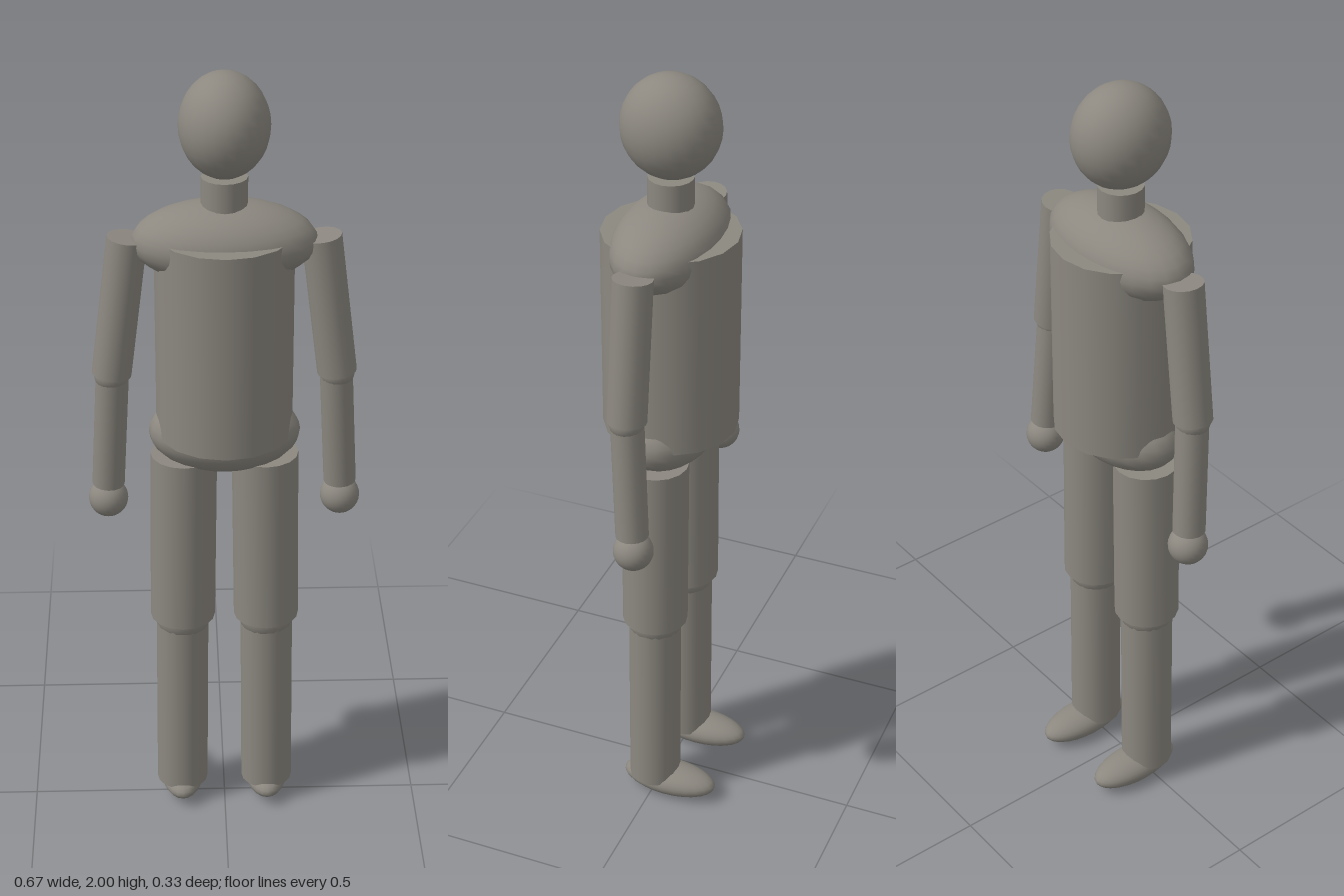
import * as THREE from 'three';

export function createModel() {
  const figure = new THREE.Group();
  figure.name = 'mannequin';
  const grey = new THREE.MeshStandardMaterial({ color: 0x8c8880 });
  grey.name = 'warm grey';

  const add = (name, geometry) => {
    const mesh = new THREE.Mesh(geometry, grey);
    mesh.name = name;
    figure.add(mesh);
    return mesh;
  };

  // Ellipsoid from a centre and three radii
  const ellipsoid = (name, [x, y, z], [rx, ry, rz]) => {
    const mesh = add(name, new THREE.SphereGeometry(1, 24, 16));
    mesh.position.set(x, y, z);
    mesh.scale.set(rx, ry, rz);
  };

  // Capped cylinder between two points
  const limb = (name, top, bottom, radius, sides = 16) => {
    const a = new THREE.Vector3(...top);
    const b = new THREE.Vector3(...bottom);
    const axis = a.clone().sub(b);
    const mesh = add(name, new THREE.CylinderGeometry(radius, radius, axis.length(), sides));
    mesh.position.copy(a).add(b).multiplyScalar(0.5);
    mesh.quaternion.setFromUnitVectors(new THREE.Vector3(0, 1, 0), axis.normalize());
  };

  // Head and trunk
  ellipsoid('head', [0, 1.875, 0], [0.107, 0.125, 0.12]);
  limb('neck', [0, 1.75, 0], [0, 1.64, 0], 0.055);
  ellipsoid('shoulders', [0, 1.59, 0], [0.22, 0.098, 0.127]);
  limb('torso', [0, 1.612, 0], [0, 1.092, 0], 0.166);
  ellipsoid('pelvis', [0, 1.09, 0], [0.185, 0.1, 0.12]);

  // Arms and legs, mirrored; the toes point to -z
  for (const [side, s] of [['left', 1], ['right', -1]]) {
    limb(side + 'UpperArm', [s * 0.228, 1.6, 0], [s * 0.272, 1.245, 0], 0.048);
    ellipsoid(side + 'Elbow', [s * 0.272, 1.245, 0], [0.043, 0.043, 0.043]);
    limb(side + 'Forearm', [s * 0.27, 1.25, 0], [s * 0.287, 0.935, -0.017], 0.04);
    ellipsoid(side + 'Hand', [s * 0.288, 0.892, -0.02], [0.049, 0.049, 0.049]);

    limb(side + 'Thigh', [s * 0.1, 1.025, 0], [s * 0.106, 0.56, 0], 0.082);
    ellipsoid(side + 'Knee', [s * 0.106, 0.56, 0], [0.071, 0.071, 0.071]);
    limb(side + 'Shin', [s * 0.107, 0.56, 0], [s * 0.111, 0.05, 0], 0.066);
    ellipsoid(side + 'Foot', [s * 0.111, 0.04, -0.042], [0.057, 0.04, 0.126]);
  }
  return figure;
}
